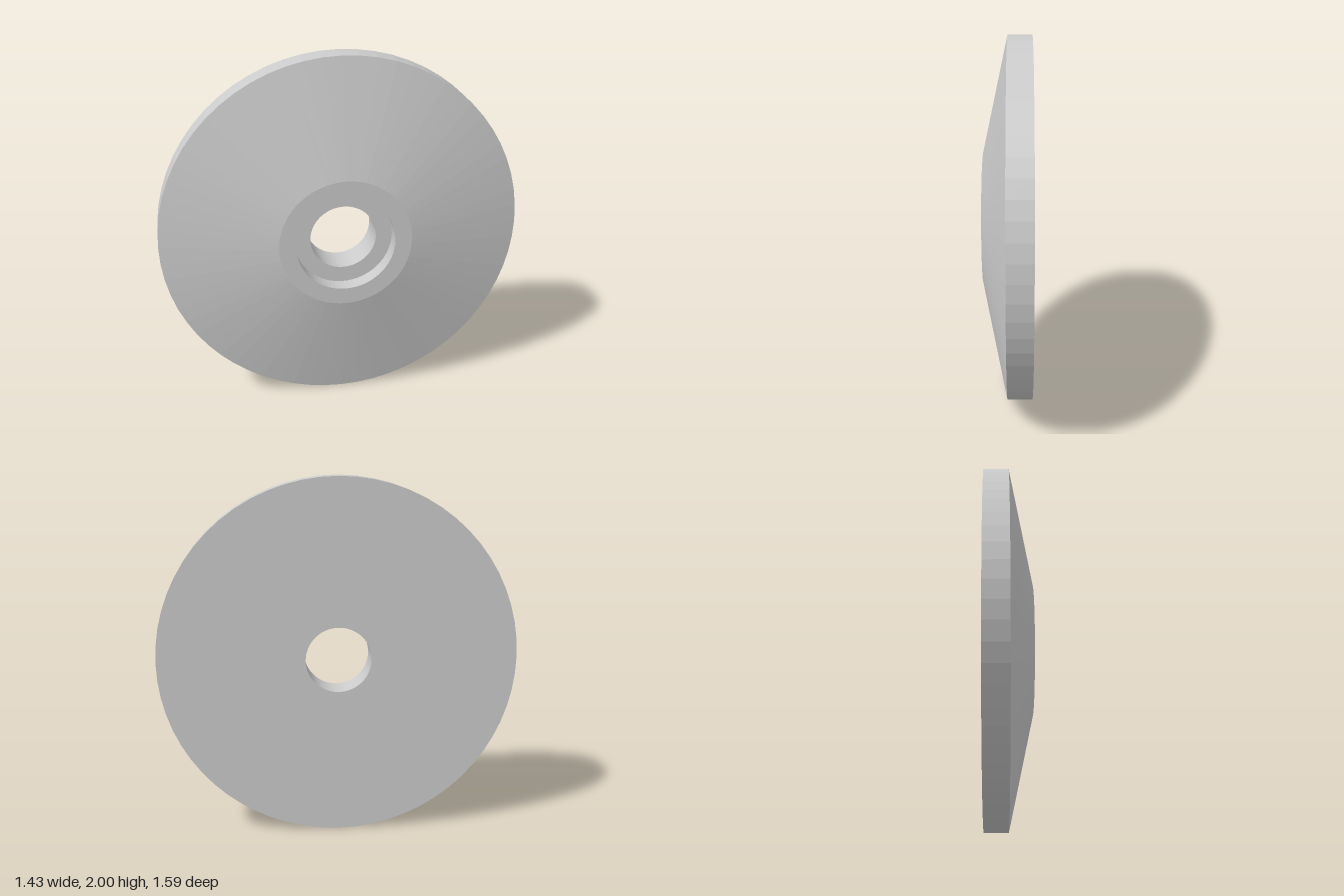
import * as THREE from 'three';

export function createModel() {
  const group = new THREE.Group();
  group.name = 'conicalDisc';

  // Closed profile as [radius, height along the axis]
  const profile = [
    [0.183, -0.067], // back face, at the bore
    [1.0, -0.067],   // rim, back edge
    [1.0, 0.067],    // rim, front edge
    [0.365, 0.202],  // cone meets the flat hub face
    [0.2725, 0.202], // counterbore mouth
    [0.2725, 0.113], // counterbore floor
    [0.183, 0.113],  // bore, front edge
    [0.183, -0.067], // bore, back edge
  ].map(([r, h]) => new THREE.Vector2(r, h));

  const geometry = new THREE.LatheGeometry(profile, 64);
  geometry.rotateX(Math.PI / 2); // axis to +z

  const material = new THREE.MeshStandardMaterial({ color: 0xcccccc, flatShading: true });
  const disc = new THREE.Mesh(geometry, material);
  disc.name = 'disc';

  // Stands on its rim, turned towards the front left
  disc.rotation.y = 0.846;
  disc.position.y = 1;
  group.add(disc);
  return group;
}
